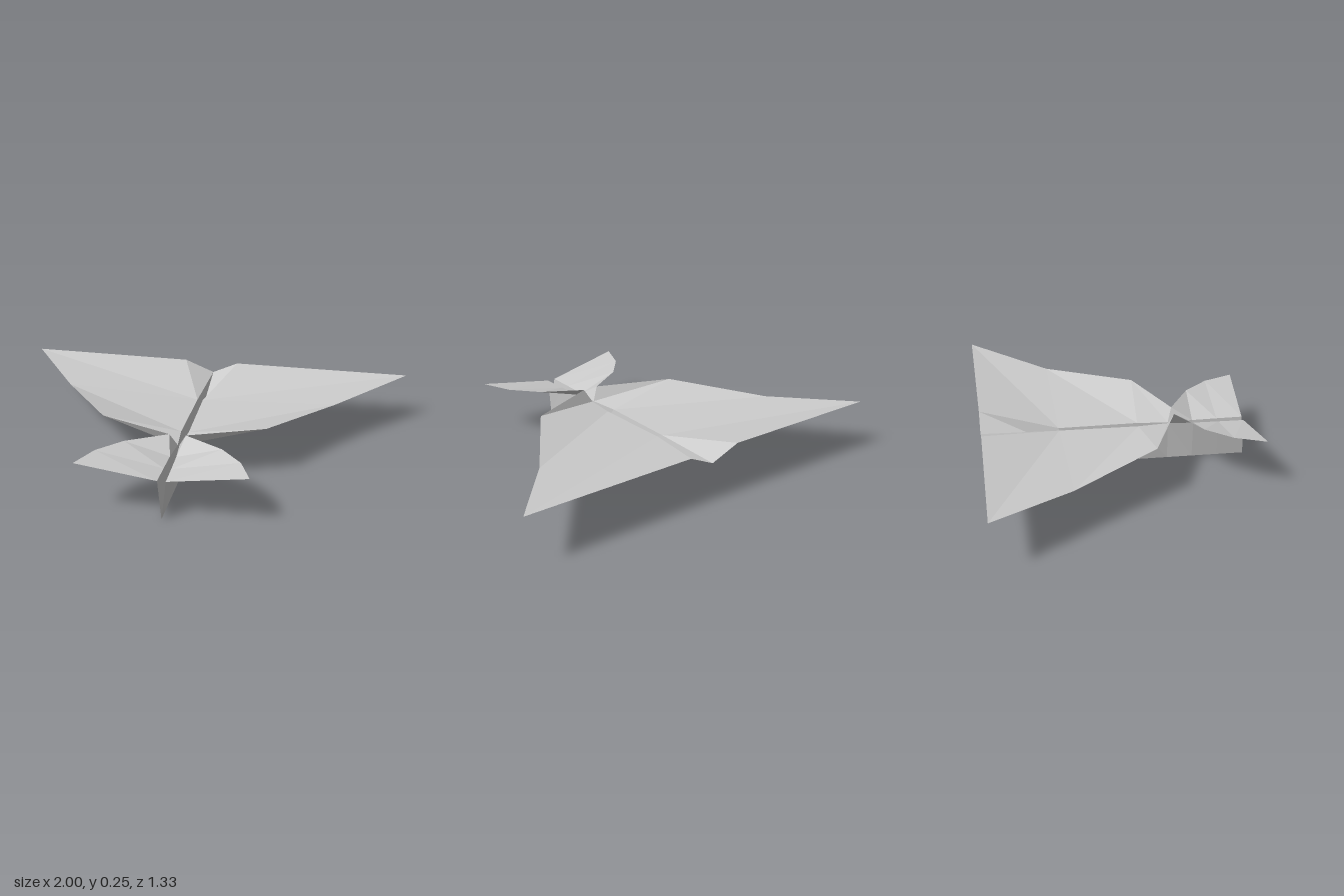
import * as THREE from 'three';

const CENTRE = -0.03; // the centre fold lies slightly off x = 0

// Ruled paper panel between two point rows of equal length
function panel(name, rowA, rowB, side, flipLast = false) {
  const pos = [];
  const put = (...pts) => {
    const order = side > 0 ? pts : [...pts].reverse();
    for (const [x, y, z] of order) pos.push(CENTRE + side * x, y, z);
  };
  for (let i = 0; i < rowA.length - 1; i++) {
    const a = rowA[i], b = rowB[i], c = rowA[i + 1], d = rowB[i + 1];
    if (flipLast && i === rowA.length - 2) {
      put(a, b, c);
      put(b, d, c);
    } else {
      put(a, b, d);
      put(a, d, c);
    }
  }
  const geo = new THREE.BufferGeometry();
  geo.setAttribute('position', new THREE.Float32BufferAttribute(pos, 3));
  geo.computeVertexNormals();
  const mesh = new THREE.Mesh(geo, new THREE.MeshStandardMaterial({
    color: 0xcccccc, flatShading: true, side: THREE.DoubleSide,
  }));
  mesh.name = name;
  return mesh;
}

export function createModel() {
  const group = new THREE.Group();
  group.name = 'paperPlane';

  for (const side of [1, -1]) {
    const label = side > 0 ? 'left' : 'right';
    const tip = side > 0 ? 1.03 : 0.97;
    const flare = side > 0 ? 0.13 : 0.15;

    // Points as [distance from the centre fold, height, z], front to rear
    const pinchIn = [0.004, 0.19, 0.26];
    const pinchOut = [0.04, 0.255, 0.283];
    const smallFold = [[0.02, 0.19, 0.638], [0.018, 0.19, 0.51], [0.015, 0.19, 0.385], pinchIn];
    const smallEdge = [[0.402, 0.255, 0.662], [0.34, 0.255, 0.515], [0.232, 0.255, 0.395], pinchOut];
    const wingFold = [pinchIn, [0.019, 0.19, 0.11], [0.014, 0.19, -0.28], [flare, 0.25, -0.662]];
    const wingEdge = [pinchOut, [0.402, 0.255, 0.138], [0.692, 0.222, -0.28], [tip, 0.25, -0.667]];

    // Small wing and main wing, each folded up from the keel
    group.add(panel(label + 'SmallWing', smallFold, smallEdge, side));
    group.add(panel(label + 'MainWing', wingFold, wingEdge, side));

    // Keel wall: folds meet along the bottom, flaring open at the rear
    const keelTop = [...smallFold, ...wingFold.slice(1)];
    const keelBottom = [
      [0, 0, 0.645], [0, 0, 0.51], [0, 0, 0.385], [0, 0, 0.26],
      [0, 0, 0.12], [0, 0.095, -0.275], [0, 0.19, -0.662],
    ];
    group.add(panel(label + 'KeelWall', keelBottom, keelTop, side, side < 0));
  }
  return group;
}
